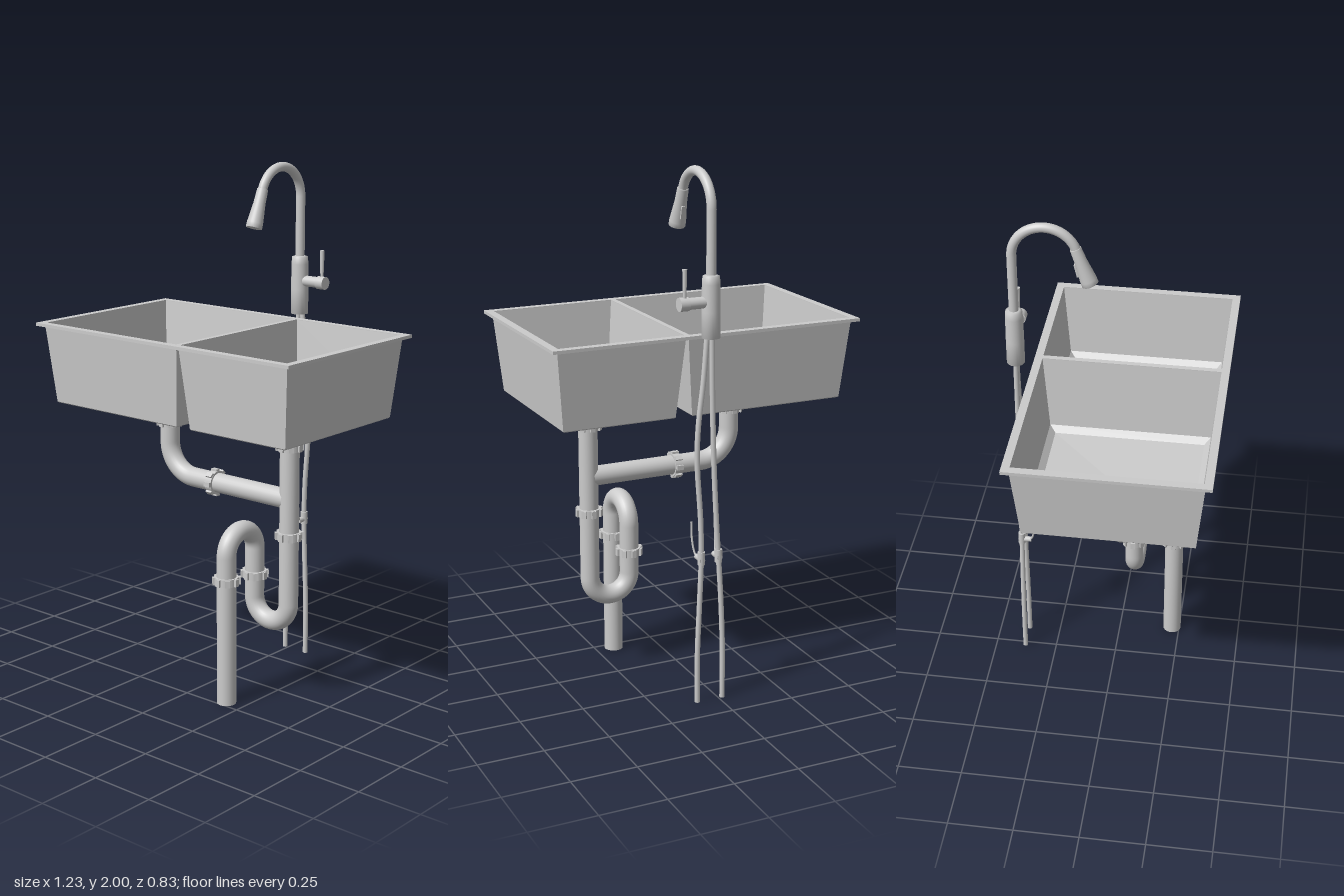
import * as THREE from 'three';

const mat = new THREE.MeshStandardMaterial({ color: 0xcccccc, side: THREE.DoubleSide });
const flatMat = new THREE.MeshStandardMaterial({ color: 0xcccccc, side: THREE.DoubleSide, flatShading: true });
const V = (x, y, z) => new THREE.Vector3(x, y, z);

function add(parent, name, geometry, x = 0, y = 0, z = 0, material = mat) {
  const mesh = new THREE.Mesh(geometry, material);
  mesh.name = name;
  mesh.position.set(x, y, z);
  parent.add(mesh);
  return mesh;
}
const cyl = (r1, r2, h, n = 24) => new THREE.CylinderGeometry(r1, r2, h, n);

// Straight runs joined by circular bends of radius r
function bentPath(points, r) {
  const path = new THREE.CurvePath();
  let from = points[0];
  const line = (to) => {
    if (from.distanceTo(to) > 0.002) path.add(new THREE.LineCurve3(from, to));
    from = to;
  };
  for (let i = 1; i < points.length - 1; i++) {
    const p = points[i];
    const d1 = p.clone().sub(points[i - 1]).normalize();
    const d2 = points[i + 1].clone().sub(p).normalize();
    const angle = d1.angleTo(d2);
    const t = r * Math.tan(angle / 2), h = 4 / 3 * Math.tan(angle / 4) * r;
    const a = p.clone().addScaledVector(d1, -t), b = p.clone().addScaledVector(d2, t);
    line(a);
    path.add(new THREE.CubicBezierCurve3(a, a.clone().addScaledVector(d1, h), b.clone().addScaledVector(d2, -h), b));
    from = b;
  }
  line(points[points.length - 1]);
  return path;
}

// Rectangular basin shell: loops run up the inside and down the outside
function basinGeometry(x0, x1, z0, z1, dx, dz) {
  const inset = (d, y) => [[x0 + d, z0 + d], [x0 + d, z1 - d], [x1 - d, z1 - d], [x1 - d, z0 + d]].map(([x, z]) => V(x, y, z));
  const square = (s, y) => [[-s, -s], [-s, s], [s, s], [s, -s]].map(([x, z]) => V(dx + x, y, dz + z));
  const rings = [
    square(0.03, 1.081), inset(0.05, 1.094), inset(0.027, 1.115), inset(0, 1.398),
    inset(-0.005, 1.39), inset(0.023, 1.09), inset(0.027, 1.086), square(0.03, 1.073),
  ];
  const pos = [];
  for (let i = 0; i < rings.length - 1; i++) {
    const a = rings[i], b = rings[i + 1];
    for (let k = 0; k < 4; k++) {
      const n = (k + 1) % 4;
      for (const p of [a[k], b[k], b[n], a[k], b[n], a[n]]) pos.push(p.x, p.y, p.z);
    }
  }
  const g = new THREE.BufferGeometry();
  g.setAttribute('position', new THREE.Float32BufferAttribute(pos, 3));
  g.computeVertexNormals();
  return g;
}

// Slip nut: a collar with grip lugs, axis along y
function slipNut(parent, x, y, z) {
  const nut = new THREE.Group();
  nut.name = 'slipNut';
  nut.position.set(x, y, z);
  add(nut, 'nutCollar', cyl(0.046, 0.046, 0.03, 32));
  for (let i = 0; i < 8; i++) {
    const a = i * Math.PI / 4;
    add(nut, 'nutLug', new THREE.BoxGeometry(0.012, 0.028, 0.018), Math.cos(a) * 0.047, 0, Math.sin(a) * 0.047).rotation.y = -a;
  }
  parent.add(nut);
  return nut;
}

// Strainer plate with petal slots, plus the fitting under the basin
function drain(parent, x, z) {
  const g = new THREE.Group();
  g.name = 'drain';
  g.position.set(x, 0, z);
  const ring = [[0.036, 1.078], [0.055, 1.082], [0.055, 1.087], [0.05, 1.09], [0.043, 1.088], [0.036, 1.08]];
  add(g, 'drainRing', new THREE.LatheGeometry(ring.map(p => new THREE.Vector2(...p)), 40));
  const plate = new THREE.Shape().absarc(0, 0, 0.043, 0, Math.PI * 2);
  for (let i = 0; i < 10; i++) {
    const a = i * Math.PI / 5;
    const at = (r, w) => [Math.cos(a + w) * r, Math.sin(a + w) * r];
    const slot = new THREE.Path();
    slot.moveTo(...at(0.014, -0.1));
    slot.lineTo(...at(0.034, -0.18));
    slot.quadraticCurveTo(...at(0.039, 0), ...at(0.034, 0.18));
    slot.lineTo(...at(0.014, 0.1));
    slot.closePath();
    plate.holes.push(slot);
  }
  const plateGeo = new THREE.ExtrudeGeometry(plate, { depth: 0.003, bevelEnabled: false, curveSegments: 10 });
  add(g, 'strainer', plateGeo.rotateX(-Math.PI / 2), 0, 1.083, 0);
  add(g, 'strainerKnob', cyl(0.006, 0.009, 0.01, 16), 0, 1.09, 0);
  const cup = [[0, 1.02], [0.037, 1.02], [0.04, 1.035], [0.05, 1.052], [0.055, 1.055], [0.055, 1.075], [0.04, 1.075]];
  add(g, 'drainCup', new THREE.LatheGeometry(cup.map(p => new THREE.Vector2(...p)), 32), 0, 0, 0, flatMat);
  slipNut(g, 0, 1.003, 0);
  parent.add(g);
}

export function createModel() {
  const model = new THREE.Group();
  const dz = 0.055, leftX = -0.255, rightX = 0.34;

  // Sink rim with two openings
  const rect = (s, x0, x1, z0, z1) => {
    s.moveTo(x0, -z0); s.lineTo(x1, -z0); s.lineTo(x1, -z1); s.lineTo(x0, -z1); s.closePath();
    return s;
  };
  const rim = rect(new THREE.Shape(), -0.615, 0.615, -0.315, 0.415);
  rim.holes.push(rect(new THREE.Path(), -0.585, 0.08, -0.285, 0.385));
  rim.holes.push(rect(new THREE.Path(), 0.1, 0.585, -0.285, 0.385));
  const rimGeo = new THREE.ExtrudeGeometry(rim, { depth: 0.012, bevelEnabled: false });
  add(model, 'sinkRim', rimGeo.rotateX(-Math.PI / 2), 0, 1.388, 0);

  // Basins and drains
  add(model, 'largeBasin', basinGeometry(-0.585, 0.08, -0.285, 0.385, leftX, dz));
  add(model, 'smallBasin', basinGeometry(0.1, 0.585, -0.285, 0.385, rightX, dz));
  drain(model, leftX, dz);
  drain(model, rightX, dz);

  // Drain pipes
  const trap = bentPath([V(rightX, 1.03, dz), V(rightX, 0.307, dz), V(0.175, 0.307, dz),
    V(0.175, 0.665, dz), V(0.175, 0.665, 0.22), V(0.175, 0, 0.22)], 0.0825);
  add(model, 'trapPipe', new THREE.TubeGeometry(trap, 220, 0.037, 24));
  add(model, 'pipeEndInside', new THREE.CylinderGeometry(0.031, 0.031, 0.2, 24, 1, true), 0.175, 0.1, 0.22);
  add(model, 'pipeEndLip', new THREE.RingGeometry(0.031, 0.037, 24).rotateX(Math.PI / 2), 0.175, 0, 0.22);
  const branch = bentPath([V(leftX, 1.03, dz), V(leftX, 0.8, dz), V(0.33, 0.8, dz)], 0.125);
  add(model, 'branchPipe', new THREE.TubeGeometry(branch, 90, 0.038, 24));
  slipNut(model, rightX, 0.66, dz);
  slipNut(model, 0.175, 0.475, dz);
  slipNut(model, 0.175, 0.49, 0.22);
  slipNut(model, -0.022, 0.8, dz).rotation.z = Math.PI / 2;

  // Faucet body and gooseneck
  const faucet = new THREE.Group();
  faucet.name = 'faucet';
  faucet.position.set(0.04, 0, -0.378);
  model.add(faucet);
  const body = [[0, 1.405], [0.034, 1.405], [0.034, 1.5], [0.033, 1.6], [0.031, 1.628], [0.02, 1.632], [0, 1.632]];
  add(faucet, 'faucetBody', new THREE.LatheGeometry(body.map(p => new THREE.Vector2(...p)), 32));
  const neck = bentPath([V(0, 1.62, 0), V(0, 1.982, 0), V(0, 1.982, 0.204), V(0, 1.894, 0.236)], 0.12);
  add(faucet, 'gooseneck', new THREE.TubeGeometry(neck, 80, 0.018, 20));

  // Spray head
  const head = new THREE.Group();
  head.name = 'sprayHead';
  head.position.set(0, 1.835, 0.257);
  head.rotation.x = -0.35;
  faucet.add(head);
  const spray = [[0, -0.07], [0.024, -0.07], [0.026, -0.074], [0.031, -0.074], [0.031, -0.055], [0.023, 0.02], [0.021, 0.075], [0.018, 0.077], [0, 0.077]];
  add(head, 'sprayShell', new THREE.LatheGeometry(spray.map(p => new THREE.Vector2(...p)), 28));
  add(head, 'sprayButton', new THREE.BoxGeometry(0.014, 0.05, 0.012), 0, -0.01, -0.026).rotation.x = 0.12;

  // Side handle with its lever
  add(faucet, 'handleStem', cyl(0.021, 0.021, 0.08), 0.06, 1.535, 0).rotation.z = Math.PI / 2;
  add(faucet, 'handleCap', cyl(0.025, 0.025, 0.035), 0.108, 1.535, 0).rotation.z = Math.PI / 2;
  add(faucet, 'handleLever', cyl(0.009, 0.006, 0.115, 14), 0.105, 1.603, -0.004);

  // Supply hoses, each with a valve and a curved wire tie
  const hoses = [
    [[0.035, 1.41], [0.032, 1.2], [0.025, 0.95], [0.012, 0.7], [0.003, 0.57], [-0.008, 0.4], [-0.016, 0.2], [-0.016, 0]],
    [[0.055, 1.41], [0.068, 1.25], [0.088, 1.08], [0.092, 0.95], [0.077, 0.72], [0.074, 0.57], [0.08, 0.4], [0.088, 0.2], [0.088, 0]],
  ];
  hoses.forEach((pts, i) => {
    const curve = new THREE.CatmullRomCurve3(pts.map(([x, y]) => V(x, y, -0.378)));
    add(model, 'supplyHose', new THREE.TubeGeometry(curve, 60, 0.01, 12));
    for (const y of [0, 1.41]) add(model, 'hoseEnd', new THREE.CircleGeometry(0.01, 12).rotateX(Math.PI / 2), pts[y ? 0 : pts.length - 1][0], y, -0.378);
    const x = pts.find(p => p[1] === 0.57)[0];
    add(model, 'hoseValve', cyl(0.014, 0.014, 0.05, 16), x, 0.575, -0.378);
    add(model, 'valveStub', cyl(0.011, 0.011, 0.05, 12), x, 0.57, -0.365).rotation.x = Math.PI / 2;
    const s = i ? 1 : -1;
    const wire = new THREE.CatmullRomCurve3([V(x, 0.565, -0.36), V(x + s * 0.006, 0.58, -0.338), V(x + s * 0.012, 0.63, -0.325), V(x + s * 0.012, 0.7, -0.318)]);
    add(model, 'valveWire', new THREE.TubeGeometry(wire, 20, 0.004, 8));
  });
  return model;
}
